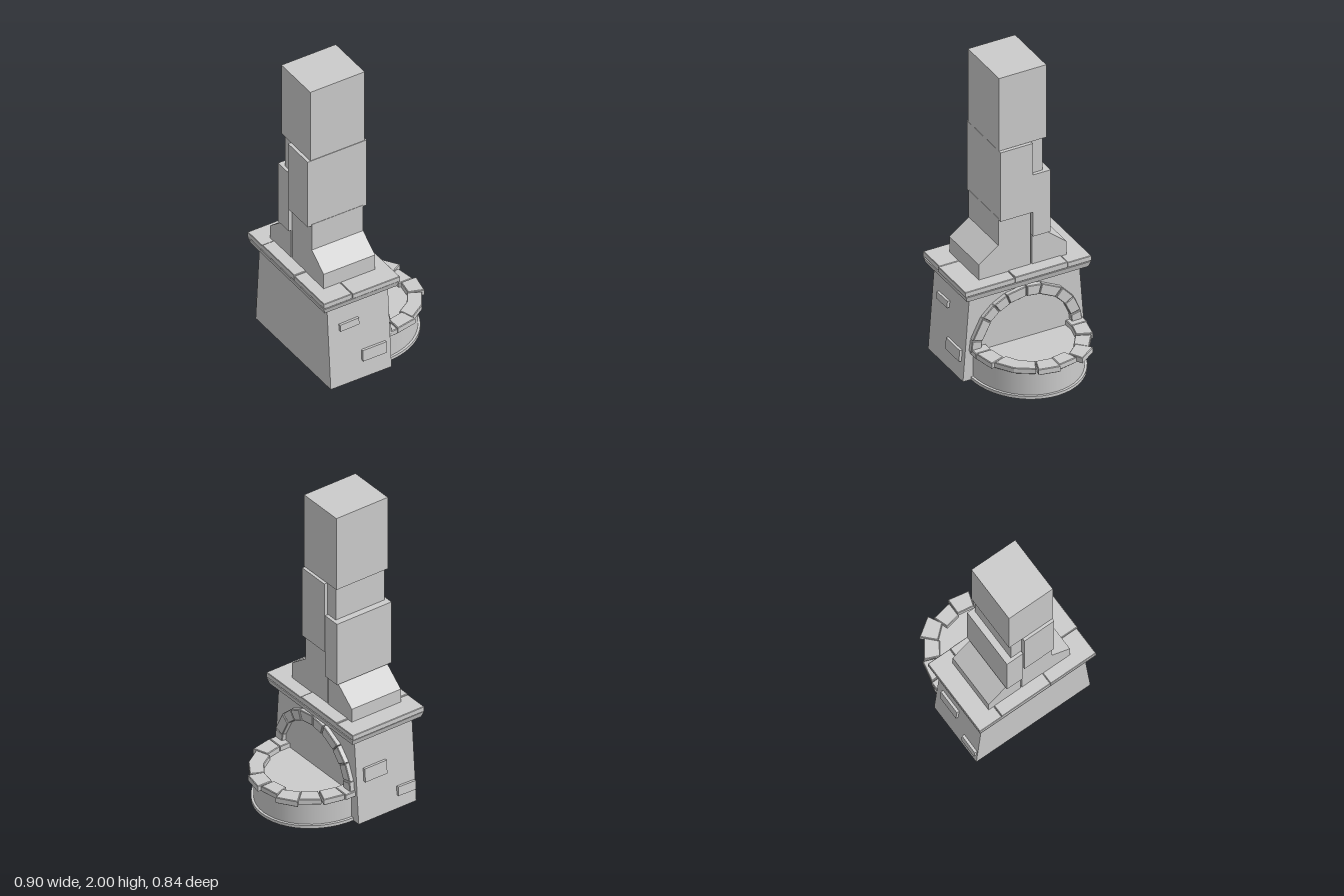
import * as THREE from 'three';

export function createModel() {
  const model = new THREE.Group();
  const material = new THREE.MeshStandardMaterial({ color: 0xcccccc });

  function add(name, geometry) {
    const mesh = new THREE.Mesh(geometry, material);
    mesh.name = name;
    model.add(mesh);
    return mesh;
  }

  // Box given by its extents on each axis
  function block(name, [x0, x1], [y0, y1], [z0, z1]) {
    const g = new THREE.BoxGeometry(x1 - x0, y1 - y0, z1 - z0);
    g.translate((x0 + x1) / 2, (y0 + y1) / 2, (z0 + z1) / 2);
    return add(name, g);
  }

  // Box whose top corners are moved by dx and dz away from the axis
  function taperedBlock(name, xs, ys, zs, dx, dz) {
    const g = block(name, xs, ys, zs).geometry;
    const p = g.attributes.position;
    const cx = (xs[0] + xs[1]) / 2;
    for (let i = 0; i < p.count; i++) {
      if (p.getY(i) < ys[1] - 1e-4) continue;
      p.setX(i, p.getX(i) + Math.sign(p.getX(i) - cx) * dx);
      p.setZ(i, p.getZ(i) + Math.sign(p.getZ(i)) * dz);
    }
    g.computeVertexNormals();
  }

  function extrude(points, depth, bevel) {
    const shape = new THREE.Shape(points.map(([a, b]) => new THREE.Vector2(a, b)));
    const g = new THREE.ExtrudeGeometry(shape, {
      depth: depth - 2 * bevel, bevelEnabled: bevel > 0, bevelSegments: 1,
      bevelSize: bevel, bevelThickness: bevel, bevelOffset: -bevel,
    });
    return g.translate(0, 0, bevel);
  }

  // Outline in (x, z), raised along y
  function slab(name, outline, y0, y1, bevel) {
    const g = extrude(outline.map(([x, z]) => [x, -z]), y1 - y0, bevel);
    add(name, g.rotateX(-Math.PI / 2).translate(0, y0, 0));
  }

  // Outline in (z, y), carried along x
  function sidePrism(name, outline, x0, x1, bevel) {
    add(name, extrude(outline, x1 - x0, bevel).rotateY(-Math.PI / 2).translate(x1, 0, 0));
  }

  // Hearth body with sloping front and back
  taperedBlock('hearthBody', [-0.4, 0.02], [0, 0.575], [-0.41, 0.41], 0, -0.043);

  // Mantel: flared moulding below separate slabs
  taperedBlock('mantelMoulding', [-0.44, 0.06], [0.57, 0.607], [-0.405, 0.405], 0.011, 0.012);
  const mantelSlabs = [
    [-0.45, 0.07, -0.42, -0.262, 0.645],
    [-0.45, 0.07, -0.26, 0.088, 0.65],
    [-0.45, -0.257, 0.09, 0.415, 0.645],
    [-0.255, 0.07, 0.09, 0.422, 0.645],
  ];
  for (const [x0, x1, z0, z1, top] of mantelSlabs) {
    slab('mantelSlab', [[x0, z0], [x1, z0], [x1, z1], [x0, z1]], 0.61, top, 0.003);
  }
  block('mantelCore', [-0.44, 0.06], [0.6, 0.63], [-0.41, 0.41]);

  // Chimney: flared feet, staggered blocks and cap
  sidePrism('frontFoot', [[0.285, 0.64], [0.285, 0.75], [0.155, 0.845], [0.155, 1.03],
    [-0.06, 1.03], [-0.06, 0.64]], -0.37, -0.015, 0);
  sidePrism('backFoot', [[-0.07, 0.64], [-0.07, 0.86], [-0.165, 0.845], [-0.3, 0.735],
    [-0.3, 0.64]], -0.37, -0.012, 0);
  block('frontShaftBlock', [-0.397, 0.01], [1.02, 1.495], [-0.062, 0.153]);
  block('backShaftBlock', [-0.39, 0.007], [0.85, 1.275], [-0.182, -0.066]);
  block('backShaftNeck', [-0.37, -0.015], [1.26, 1.51], [-0.14, -0.06]);
  block('chimneyCap', [-0.38, -0.005], [1.5, 2], [-0.16, 0.155]);

  // Half-round basin and its plinth
  function halfDrum(name, rx, rz, y0, y1) {
    const g = new THREE.CylinderGeometry(1, 1, y1 - y0, 24, 1, false, 0, Math.PI);
    add(name, g.scale(rx, 1, rz).translate(0.015, (y0 + y1) / 2, 0));
  }
  halfDrum('basin', 0.39, 0.342, 0.01, 0.185);
  halfDrum('basinPlinth', 0.405, 0.358, 0, 0.02);

  // Uneven stones around the basin rim, as (x, z) outlines
  const rimStones = [
    [[0.02, -0.38], [0.09, -0.38], [0.09, -0.275], [0.02, -0.275]],
    [[0.095, -0.373], [0.226, -0.345], [0.19, -0.25], [0.092, -0.275]],
    [[0.231, -0.33], [0.34, -0.253], [0.272, -0.188], [0.193, -0.243]],
    [[0.359, -0.27], [0.436, -0.157], [0.352, -0.111], [0.28, -0.195]],
    [[0.407, -0.132], [0.429, -0.007], [0.335, -0.007], [0.318, -0.101]],
    [[0.347, -0.005], [0.45, -0.002], [0.424, 0.13], [0.33, 0.099]],
    [[0.325, 0.097], [0.405, 0.135], [0.335, 0.243], [0.226, 0.313], [0.193, 0.222], [0.275, 0.171]],
    [[0.094, 0.26], [0.198, 0.239], [0.232, 0.335], [0.094, 0.362]],
    [[0.02, 0.26], [0.09, 0.26], [0.09, 0.364], [0.02, 0.364]],
  ];
  rimStones.forEach((outline, i) => {
    slab('rimStone', outline, 0.18, 0.218 + 0.003 * (i % 2), 0.004);
  });

  // Arch of wedge stones on the hearth side
  const joints = [0, 13, 38, 54, 69, 90, 106, 130, 148, 167, 180];
  const archPoint = (deg, inset) => {
    const a = THREE.MathUtils.degToRad(deg);
    return [(0.37 - inset) * Math.cos(a), 0.2 + (0.35 - inset) * Math.sin(a)];
  };
  for (let i = 0; i < joints.length - 1; i++) {
    const a = joints[i] + 0.4, b = joints[i + 1] - 0.4;
    sidePrism('archStone', [archPoint(a, 0), archPoint(b, 0), archPoint(b, 0.068),
      archPoint(a, 0.068)], 0.01, 0.048 + 0.003 * (i % 2), 0.004);
  }

  // Bricks standing proud of the front (+1) and back (-1) walls
  const bricks = [
    [-0.26, 0.407, 0.13, 0.045, 1, 0.03],
    [-0.098, 0.158, 0.165, 0.075, 1, 0],
    [-0.112, 0.315, 0.16, 0.09, -1, 0],
    [-0.328, 0.118, 0.128, 0.06, -1, 0.03],
  ];
  for (const [x, y, w, h, side, roll] of bricks) {
    const brick = add('wallBrick', new THREE.BoxGeometry(w, h, 0.04));
    brick.position.set(x, y, side * (0.407 - 0.075 * y));
    brick.rotation.set(-side * 0.075, 0, roll);
  }

  return model;
}
